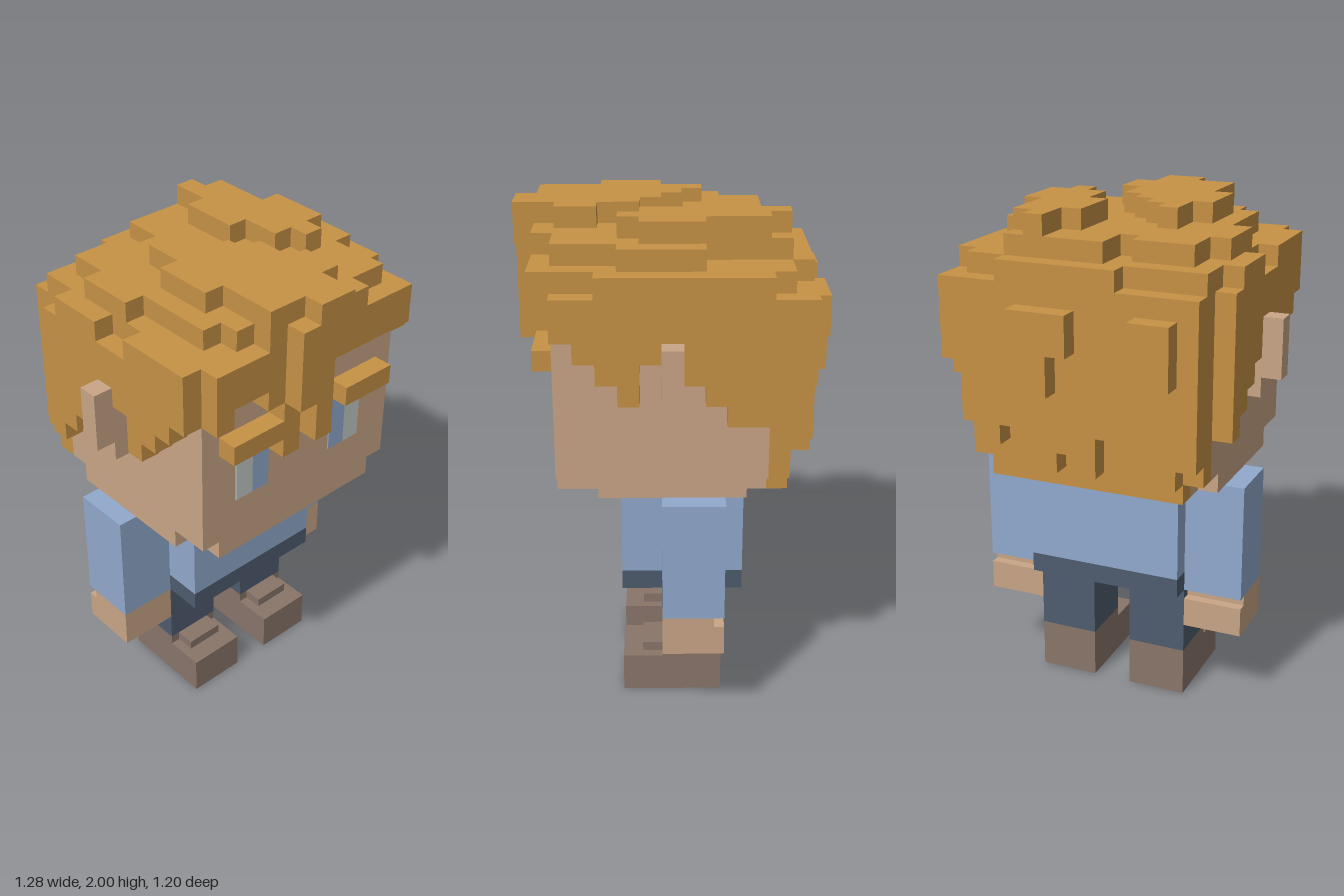
import * as THREE from 'three';
import { mergeGeometries } from 'three/addons/utils/BufferGeometryUtils.js';

const U = 0.08; // block size of the stepped parts

const material = (name, color) => {
  const m = new THREE.MeshStandardMaterial({ color });
  m.name = name;
  return m;
};

// Box from its lower and upper limits on each axis
function block(x0, x1, y0, y1, z0, z1) {
  const g = new THREE.BoxGeometry(x1 - x0, y1 - y0, z1 - z0);
  return g.translate((x0 + x1) / 2, (y0 + y1) / 2, (z0 + z1) / 2);
}

export function createModel() {
  const model = new THREE.Group();
  model.name = 'figure';
  const skin = material('skin', 0xc9a586);
  const hair = material('hair', 0xc69145);
  const shirt = material('shirt blue', 0x91a9cd);
  const trousers = material('trouser navy', 0x4e5c6e);
  const leather = material('shoe brown', 0x89756a);
  const pale = material('pale grey', 0xc2cac8);

  // One mesh made of several boxes
  function part(name, mat, ...boxes) {
    const mesh = new THREE.Mesh(mergeGeometries(boxes.map((b) => block(...b))), mat);
    mesh.name = name;
    model.add(mesh);
  }
  // Mirrored span on x
  const span = (s, a, b) => (s > 0 ? [a, b] : [-b, -a]);

  // Legs, shoes, arms, hands, ears, eyes and brows on both sides
  for (const s of [1, -1]) {
    const side = s > 0 ? 'left' : 'right';
    part(side + 'Leg', trousers, [...span(s, 0.08, 0.32), 0.2, 0.48, -0.2, 0.04]);
    part(side + 'Shoe', leather,
      [...span(s, 0.08, 0.32), 0, 0.16, -0.2, 0.2],
      [...span(s, 0.08, 0.32), 0.16, 0.2, -0.2, 0.04],
      [...span(s, 0.12, 0.28), 0.16, 0.2, 0.04, 0.12]);
    part(side + 'Sleeve', shirt, [...span(s, 0.32, 0.56), 0.48, 0.96, -0.2, 0.04]);
    part(side + 'Hand', skin,
      [...span(s, 0.32, 0.56), 0.32, 0.44, -0.2, 0.04],
      [...span(s, 0.32, 0.56), 0.44, 0.48, -0.16, 0.04]);
    part(side + 'Ear', skin,
      [...span(s, 0.56, 0.64), 1.36, 1.6, -0.04, 0.04],
      [...span(s, 0.48, 0.56), 1.28, 1.6, -0.04, 0.04]);
    part(side + 'Iris', shirt, [...span(s, 0.16, 0.24), 1.2, 1.44, 0.44, 0.445]);
    part(side + 'EyeWhite', pale, [...span(s, 0.24, 0.32), 1.2, 1.44, 0.44, 0.445]);
    part(side + 'Brow', hair, [...span(s, 0.16, 0.4), 1.44, 1.52, 0.44, 0.52]);
  }

  // Torso
  part('shirt', shirt, [-0.32, 0.32, 0.56, 0.96, -0.28, 0.2]);
  part('waistband', trousers, [-0.32, 0.32, 0.48, 0.56, -0.28, 0.2]);
  part('collar', shirt, [-0.08, 0.08, 0.92, 0.96, 0.2, 0.204], [-0.04, 0.04, 0.88, 0.92, 0.2, 0.204]);
  part('undershirt', pale, [-0.04, 0.04, 0.92, 0.96, 0.204, 0.207]);

  // Head with cut lower corners
  part('head', skin,
    [-0.48, 0.48, 1.04, 1.76, -0.36, 0.44],
    [-0.4, 0.4, 0.96, 1.04, -0.36, 0.44],
    [-0.48, 0.48, 0.96, 1.04, -0.28, 0.28]);

  // Hair crown: rows of [z0, z1, x0, x1] for each layer
  const layer = (y, rows) => rows.map(([z0, z1, x0, x1]) => [x0, x1, y, y + U, z0, z1]);
  part('hairCrown', hair,
    [-0.48, 0.48, 1.76, 1.84, -0.44, 0.52],
    ...layer(1.84, [
      [-0.44, -0.36, -0.08, 0.32], [-0.36, -0.28, -0.4, -0.16], [-0.36, -0.28, -0.08, 0.32],
      [-0.28, -0.2, -0.4, 0.32], [-0.2, -0.12, -0.48, 0.32], [-0.12, 0.04, -0.48, 0.48],
      [0.04, 0.2, -0.4, 0.48], [0.2, 0.36, -0.4, 0.4], [0.36, 0.44, -0.32, 0.4],
      [0.44, 0.52, -0.24, 0.24],
    ]));
  part('hairTopTufts', hair, ...layer(1.92, [
    [-0.12, -0.04, -0.24, -0.16], [-0.04, 0.04, -0.24, -0.08], [0.04, 0.12, -0.32, 0],
    [0.12, 0.28, -0.32, 0.08], [0.28, 0.44, -0.24, 0.16], [0.44, 0.52, -0.24, 0.08],
    [0.52, 0.6, -0.08, 0.08],
    [-0.44, -0.36, 0.16, 0.24], [-0.36, -0.28, 0.16, 0.32], [-0.28, -0.12, 0.08, 0.32],
    [-0.12, -0.04, 0.08, 0.4], [-0.04, 0.12, 0.16, 0.4], [0.12, 0.2, 0.24, 0.32],
  ]));

  // Fringe: bottom height of each column from x = -0.48, then the forelock
  const fringe = [1.6, 1.68, 1.68, 1.6, 1.36, 1.44, 1.6, 1.68, 1.68, 1.68, 1.68, 1.68];
  part('fringe', hair, ...fringe.map((y, i) =>
    [-0.48 + i * U, -0.4 + i * U, y, 1.76, 0.44, 0.52]));
  part('forelock', hair,
    [-0.16, -0.08, 1.6, 1.92, 0.52, 0.6],
    [-0.08, 0, 1.44, 1.92, 0.52, 0.6],
    [0, 0.08, 1.84, 1.92, 0.52, 0.6]);

  // Side hair: bottom height of each column from the front backwards
  const sideBottoms = [1.6, 1.52, 1.44, 1.36, 1.52, 1.6, 1.44, 1.36, 1.28, 1.28];
  part('leftSideHair', hair,
    ...sideBottoms.map((y, i) =>
      [0.48, 0.56, y, i < 2 ? 1.76 : 1.84, 0.36 - i * U, 0.44 - i * U]),
    [0.48, 0.56, 1.36, 1.76, -0.44, -0.36]);
  part('rightSideHair', hair, ...sideBottoms.map((y, i) =>
    [-0.56, -0.48, i === 9 ? 1.2 : y, i === 9 || i === 5 || i === 4 ? 1.76 : 1.84,
      0.36 - i * U, 0.44 - i * U]));

  // Back hair: inner sheet, ragged outer sheet and raised tufts
  part('backHair', hair,
    [-0.48, 0.48, 1.04, 1.76, -0.44, -0.36],
    [-0.4, 0.4, 0.96, 1.04, -0.44, -0.36]);
  const back = [1.12, 1.04, 1.04, 1.12, 1.2, 1.04, 1.12, 1.04, 1.12, 1.2, 1.12, 1.2, 1.44];
  part('backHairLocks', hair, ...back.map((y, i) =>
    [-0.48 + i * U, -0.4 + i * U, y, i >= 4 && i < 10 ? 1.84 : 1.76, -0.52, -0.44]));
  part('backTufts', hair,
    [-0.4, -0.24, 1.52, 1.68, -0.6, -0.52],
    [-0.4, -0.32, 1.44, 1.52, -0.6, -0.52],
    [0, 0.24, 1.52, 1.68, -0.6, -0.52],
    [0.08, 0.16, 1.36, 1.52, -0.6, -0.52]);

  return model;
}
